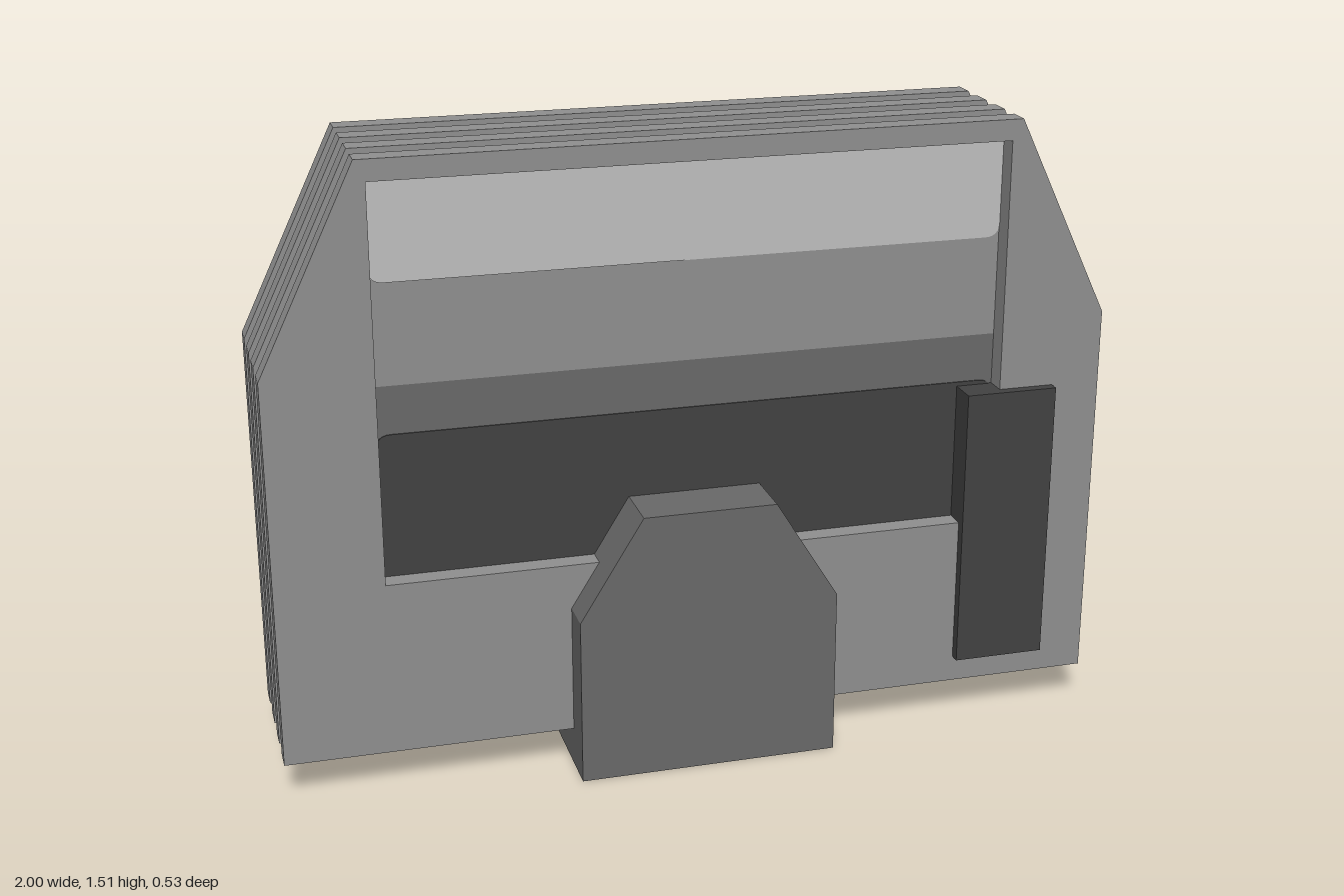
import * as THREE from 'three';

const mat = (name, color) => {
  const m = new THREE.MeshStandardMaterial({ color });
  m.name = name;
  return m;
};

// Closed shape from [x, y] points
const polygon = (pts) => new THREE.Shape(pts.map(([x, y]) => new THREE.Vector2(x, y)));

// Mirror right-hand points (listed bottom to top) into a symmetric outline
const symmetric = (right) =>
  polygon([...right, ...right.slice().reverse().map(([x, y]) => [-x, y])]);

// Rectangle with separate corner radii at the bottom and the top
function panelShape(w, y0, y1, rBottom, rTop) {
  const s = new THREE.Shape();
  s.moveTo(-w + rBottom, y0);
  s.lineTo(w - rBottom, y0);
  if (rBottom) s.quadraticCurveTo(w, y0, w, y0 + rBottom);
  s.lineTo(w, y1 - rTop);
  if (rTop) s.quadraticCurveTo(w, y1, w - rTop, y1);
  s.lineTo(-w + rTop, y1);
  if (rTop) s.quadraticCurveTo(-w, y1, -w, y1 - rTop);
  s.lineTo(-w, y0 + rBottom);
  if (rBottom) s.quadraticCurveTo(-w, y0, -w + rBottom, y0);
  return s;
}

export function createModel() {
  const group = new THREE.Group();
  const light = mat('light grey', 0xc0c0c0);
  const medium = mat('medium grey', 0x909090);
  const slate = mat('slate grey', 0x696969);
  const dark = mat('charcoal', 0x424242);

  // Extrude a shape between two depths
  const add = (name, shape, z0, z1, material) => {
    const geo = new THREE.ExtrudeGeometry(shape, {
      depth: z1 - z0, bevelEnabled: false, curveSegments: 6,
    });
    geo.translate(0, 0, z0);
    const mesh = new THREE.Mesh(geo, material);
    mesh.name = name;
    group.add(mesh);
  };

  // Four outer plates with darker spacers between them
  const plateFront = [0.175, 0.064, -0.045, -0.155];
  const thickness = 0.056;
  plateFront.forEach((z, i) => {
    const plate = symmetric([[1, 0.095], [1, 1.03], [0.77, 1.51]]);
    if (i === 0) {
      // Window opening in the front plate
      plate.holes.push(polygon([[-0.745, 0.52], [-0.745, 1.46], [0.745, 1.46], [0.745, 0.52]]));
    }
    add(i === 0 ? 'frontPlate' : 'plate' + i, plate, z - thickness, z, medium);
    if (i < 3) {
      const spacer = symmetric([[0.968, 0.13], [0.968, 1.02], [0.742, 1.463]]);
      add('spacer' + i, spacer, plateFront[i + 1], z - thickness, dark);
    }
  });

  // Coloured bands inside the window
  const back = plateFront[0] - thickness;
  const w = 0.745;
  add('mediumBand', panelShape(w, 0.98, 1.46, 0, 0), back, back + 0.003, medium);
  add('slateBand', panelShape(w, 0.7, 0.98, 0, 0), back, back + 0.003, slate);
  add('lightBand', panelShape(w, 1.22, 1.46, 0.035, 0), back, back + 0.006, light);
  add('darkBand', panelShape(w, 0.52, 0.865, 0, 0.035), back, back + 0.006, dark);

  // Side clip on the front
  add('sideClip', polygon([[0.655, 0.16], [0.88, 0.16], [0.88, 0.855], [0.655, 0.855]]),
    back, 0.2, dark);

  // Stand running through all the plates
  add('stand', symmetric([[0.313, 0], [0.313, 0.41], [0.16, 0.657]]), -0.265, 0.265, slate);

  return group;
}
